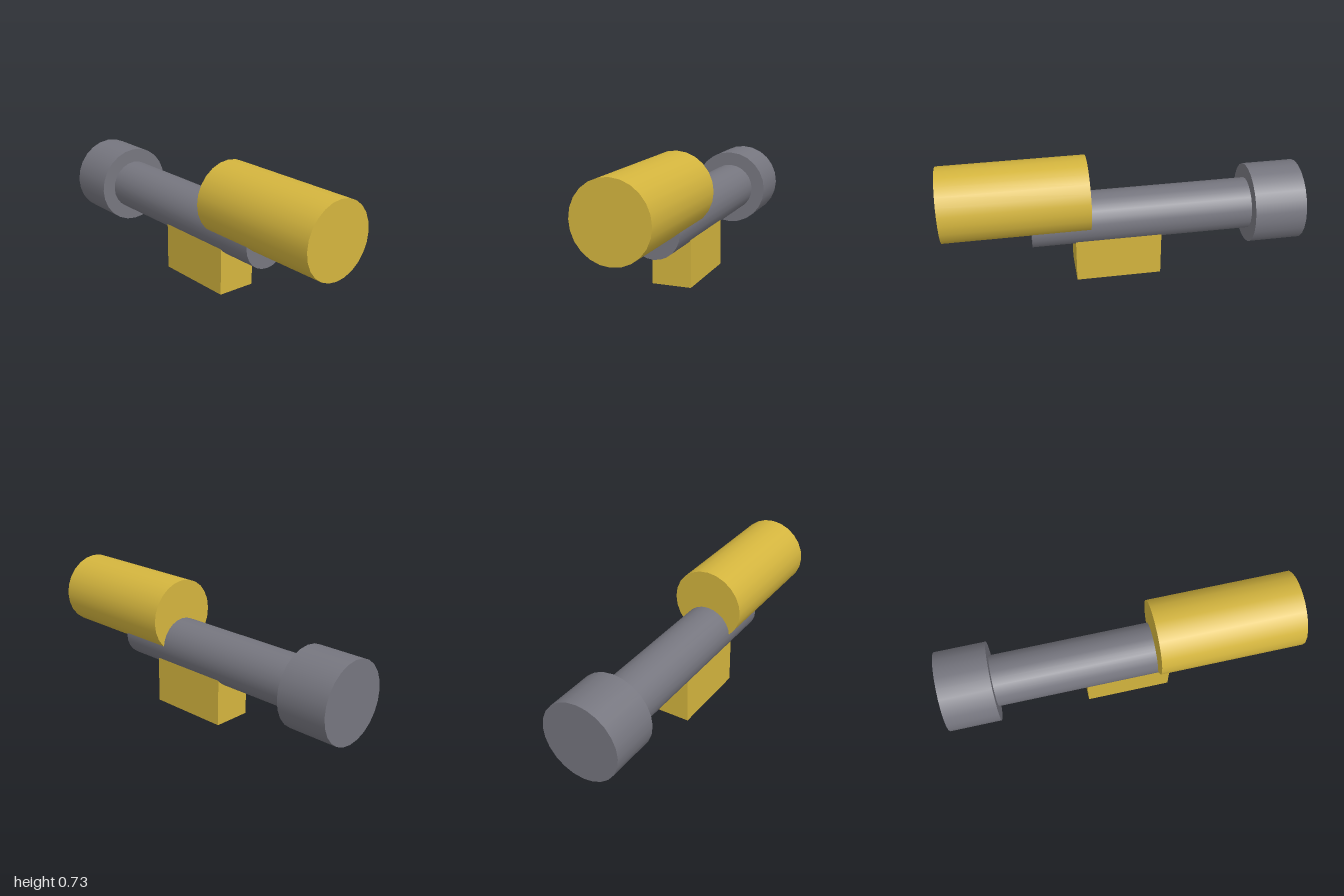
import * as THREE from 'three';

export function createModel() {
  const model = new THREE.Group();
  model.name = 'telescopeBlaster';

  const gold = new THREE.MeshStandardMaterial({ name: 'gold', color: 0xd4b53e });
  const grey = new THREE.MeshStandardMaterial({ name: 'slate grey', color: 0x76767f });

  // Cylinder lying along z, from zBack to zFront
  function barrel(name, radius, y, zBack, zFront, material) {
    const geometry = new THREE.CylinderGeometry(radius, radius, zFront - zBack, 24);
    geometry.rotateX(Math.PI / 2);
    const mesh = new THREE.Mesh(geometry, material);
    mesh.name = name;
    mesh.position.set(0, y, (zBack + zFront) / 2);
    model.add(mesh);
  }

  // Main tube with its wide end cap
  barrel('mainTube', 0.145, 0.357, -0.72, 0.518, grey);
  barrel('endCap', 0.225, 0.357, -1, -0.71, grey);

  // Upper tube, overlapping the front of the main tube
  barrel('upperTube', 0.209, 0.518, 0.195, 1, gold);

  // Mount block, its top sunk into the main tube
  const block = new THREE.Mesh(new THREE.BoxGeometry(0.225, 0.32, 0.482), gold);
  block.name = 'mountBlock';
  block.position.set(0, 0.16, 0.037);
  model.add(block);

  return model;
}
